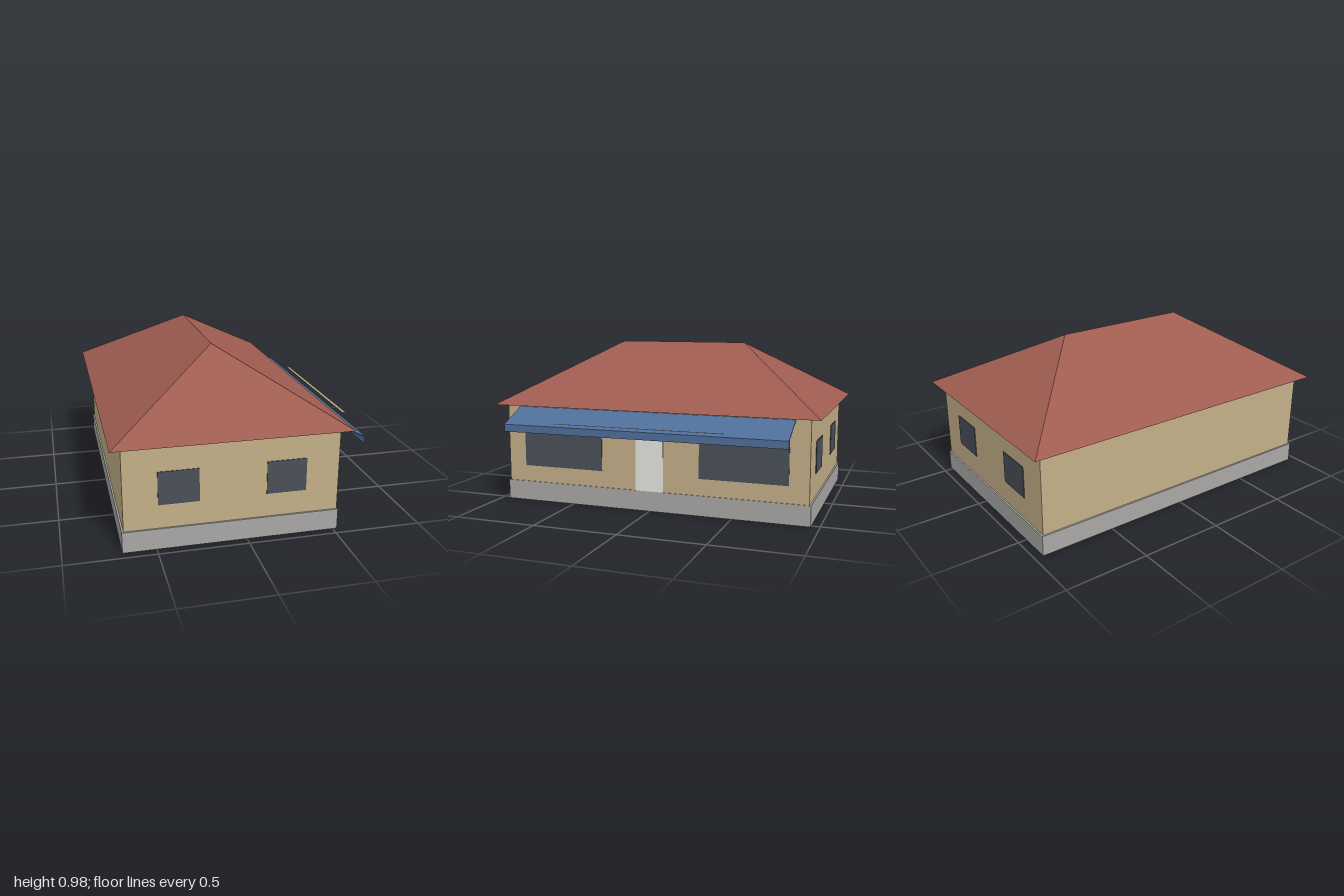
import * as THREE from 'three';

const mat = (name, color, extra = {}) => {
  const m = new THREE.MeshStandardMaterial({ color, ...extra });
  m.name = name;
  return m;
};

export function createModel() {
  const house = new THREE.Group();
  house.name = 'house';

  const wall = mat('sand wall', 0xc4b088);
  const stone = mat('grey plinth', 0xa9a8a6);
  const tile = mat('roof tile red', 0x9f5c50);
  const glass = mat('dark glass', 0x4a5059);
  const paint = mat('pale door', 0xe6e6e2);
  const cloth = mat('awning blue', 0x4e6e9a);
  wall.side = THREE.DoubleSide;

  const add = (name, geometry, material) => {
    const mesh = new THREE.Mesh(geometry, material);
    mesh.name = name;
    house.add(mesh);
    return mesh;
  };
  // Box given by its minimum and maximum on each axis
  const box = (name, [x0, x1], [y0, y1], [z0, z1], material) => {
    const mesh = add(name, new THREE.BoxGeometry(x1 - x0, y1 - y0, z1 - z0), material);
    mesh.position.set((x0 + x1) / 2, (y0 + y1) / 2, (z0 + z1) / 2);
  };

  // Body
  box('plinth', [-0.685, 0.525], [0, 0.12], [-0.95, 0.95], stone);
  box('walls', [-0.675, 0.52], [0.12, 0.6], [-0.94, 0.94], wall);

  // Hipped roof: a box whose top face is drawn in to the ridge
  const roof = new THREE.BoxGeometry(1.315, 0.375, 2).toNonIndexed();
  const p = roof.attributes.position;
  for (let i = 0; i < p.count; i++) {
    if (p.getY(i) > 0) {
      p.setX(i, 0);
      p.setZ(i, Math.sign(p.getZ(i)) * 0.41);
    }
  }
  roof.computeVertexNormals();
  add('roof', roof, tile).position.set(-0.0775, 0.7875, 0);

  // Windows in the front and back walls, and shop windows on the door side
  for (const s of [-1, 1]) {
    const z = [s * 0.94 - 0.004, s * 0.94 + 0.004];
    box('window', [-0.488, -0.264], [0.256, 0.445], z, glass);
    box('window', [0.108, 0.332], [0.256, 0.445], z, glass);
    const w = s > 0 ? [0.305, 0.825] : [-0.825, -0.305];
    box('shopWindow', [0.516, 0.524], [0.22, 0.48], w, glass);
  }
  box('door', [0.516, 0.525], [0.12, 0.475], [-0.086, 0.086], paint);

  // Awning: sloping sheet with a hanging front edge
  const profile = new THREE.Shape([
    [0.518, 0.59], [0.707, 0.504], [0.707, 0.46],
    [0.702, 0.46], [0.702, 0.5], [0.518, 0.584],
  ].map(([x, y]) => new THREE.Vector2(x, y)));
  add('awning', new THREE.ExtrudeGeometry(profile, { depth: 1.71, bevelEnabled: false }), cloth)
    .position.z = -0.855;

  // Flat strip in front of the awning
  const strip = add('awningStrip', new THREE.PlaneGeometry(0.02, 1.02), wall);
  strip.rotation.x = -Math.PI / 2;
  strip.position.set(0.725, 0.525, 0);

  return house;
}
